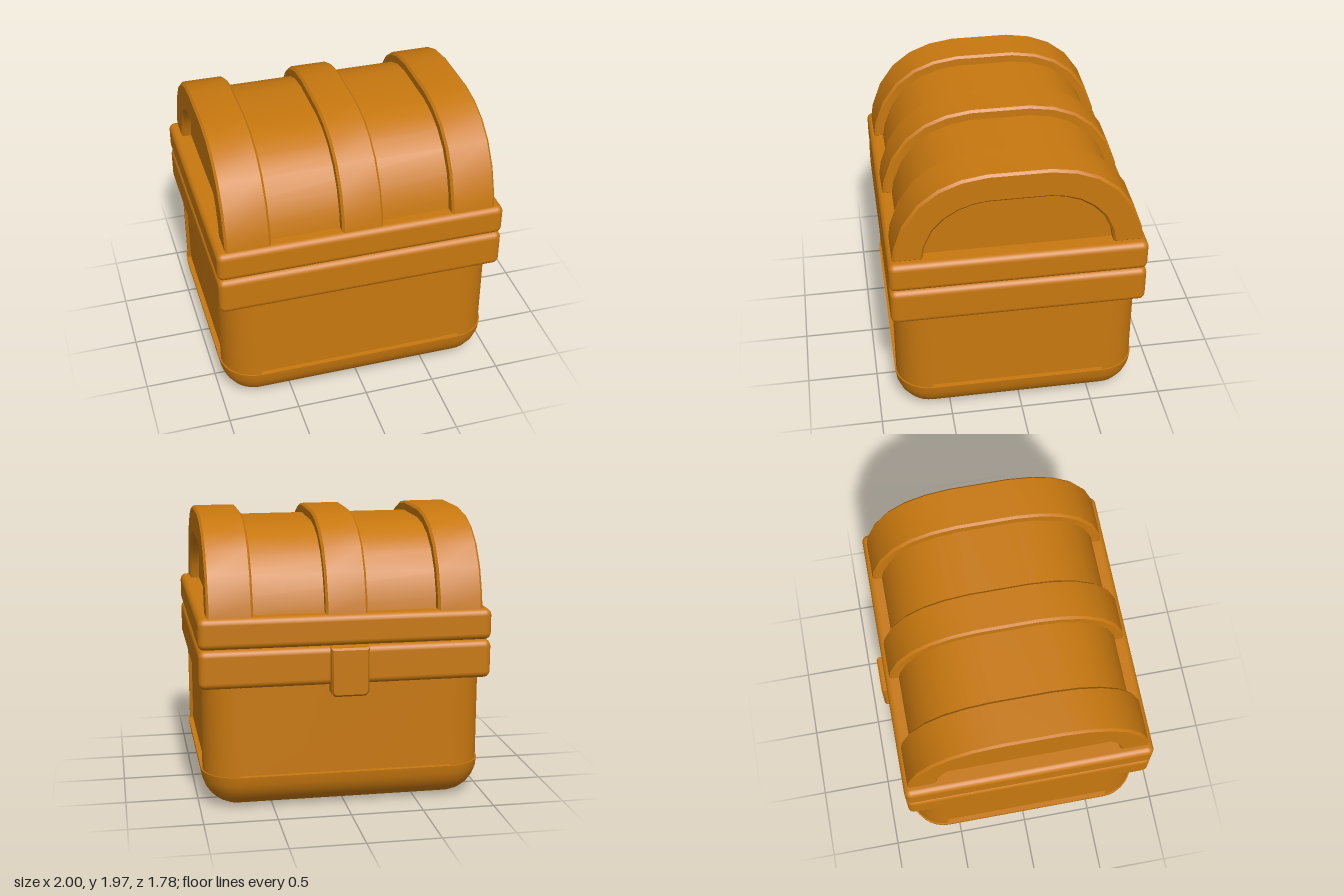
import * as THREE from 'three';
import { toCreasedNormals } from 'three/addons/utils/BufferGeometryUtils.js';
import { RoundedBoxGeometry } from 'three/addons/geometries/RoundedBoxGeometry.js';

const CX = 0.73, CZ = 0.605; // centres of the rounded corners in plan

// Stack of rounded-rectangle rings [y, cornerRadius], capped at both ends
function loft(rings, steps = 8) {
  const pos = [], index = [], n = 4 * (steps + 1);
  for (const [y, r] of rings) {
    for (let k = 0; k < 4; k++) {
      const sx = k === 0 || k === 3 ? 1 : -1, sz = k < 2 ? 1 : -1;
      for (let i = 0; i <= steps; i++) {
        const a = (k + i / steps) * Math.PI / 2;
        pos.push(sx * CX + r * Math.cos(a), y, sz * CZ + r * Math.sin(a));
      }
    }
  }
  for (let j = 0; j < rings.length - 1; j++) {
    for (let i = 0; i < n; i++) {
      const a = j * n + i, b = j * n + (i + 1) % n;
      index.push(a, a + n, b, b, a + n, b + n);
    }
  }
  const top = (rings.length - 1) * n;
  for (let i = 1; i < n - 1; i++) {
    index.push(0, i, i + 1, top, top + i + 1, top + i);
  }
  const g = new THREE.BufferGeometry();
  g.setAttribute('position', new THREE.Float32BufferAttribute(pos, 3));
  g.setIndex(index);
  return toCreasedNormals(g, 0.6);
}

// Half profiles of the lid bands, [z, y] from the foot to the crown
const OUTER = [[0.84, 1.345], [0.825, 1.45], [0.76, 1.63], [0.655, 1.78], [0.525, 1.88], [0.375, 1.94], [0.205, 1.967]];
const INNER = [[0.64, 1.345], [0.62, 1.45], [0.565, 1.57], [0.49, 1.65], [0.4, 1.71], [0.3, 1.745], [0.205, 1.76]];

// Full arch between the outer (t = 0) and inner (t = 1) profile
function arch(t) {
  const half = OUTER.map(([z, y], i) => new THREE.Vector2(
    z + (INNER[i][0] - z) * t, y + (INNER[i][1] - y) * t));
  const other = half.map((p) => new THREE.Vector2(-p.x, p.y)).reverse();
  return [...half, ...other];
}

// Extrude a (z, y) outline along x, centred, with an optional bevel
function extrudeX(points, width, bevel) {
  const g = new THREE.ExtrudeGeometry(new THREE.Shape(points), {
    depth: width - 2 * bevel, bevelEnabled: bevel > 0, bevelSize: bevel,
    bevelThickness: bevel, bevelOffset: -bevel, bevelSegments: 1,
  });
  g.translate(0, 0, -(width - 2 * bevel) / 2);
  g.rotateY(-Math.PI / 2);
  return toCreasedNormals(g, 0.6);
}

export function createModel() {
  const root = new THREE.Group();
  root.name = 'chest';
  const chest = new THREE.Group();
  chest.name = 'chestParts';
  chest.position.z = 0.02;
  root.add(chest);
  const material = new THREE.MeshStandardMaterial({ color: 0xc8780f });
  const add = (name, geometry, x = 0, y = 0, z = 0) => {
    const mesh = new THREE.Mesh(geometry, material);
    mesh.name = name;
    mesh.position.set(x, y, z);
    chest.add(mesh);
  };

  // Base with a rounded underside
  const baseRings = [];
  for (let i = 0; i <= 6; i++) {
    const a = 0.1 + (i / 6) * (Math.PI / 2 - 0.1);
    baseRings.push([0.25 * (1 - Math.cos(a)) - 0.001, 0.25 * Math.sin(a)]);
  }
  add('base', loft(baseRings));

  // Recessed side panels
  add('bodyPanels', loft([[0.2, 0.215], [0.92, 0.215]]));

  // Quarter-round corner posts
  for (let k = 0; k < 4; k++) {
    const sx = k === 0 || k === 3 ? 1 : -1, sy = k < 2 ? 1 : -1;
    const pie = new THREE.Shape();
    pie.moveTo(0, 0);
    pie.absarc(0, 0, 0.24, k * Math.PI / 2, (k + 1) * Math.PI / 2, false);
    const g = new THREE.ExtrudeGeometry(pie, { depth: 0.65, bevelEnabled: false, curveSegments: 8 });
    g.rotateX(-Math.PI / 2);
    add('cornerPost', toCreasedNormals(g, 0.6), sx * CX, 0.24, -sy * CZ);
  }

  // Body rim and lid rim
  add('bodyRim', new RoundedBoxGeometry(2, 0.266, 1.74, 3, 0.045), 0, 1.006, 0);
  add('lidRim', new RoundedBoxGeometry(2, 0.214, 1.74, 3, 0.045), 0, 1.248, 0);

  // Lid barrel and the three bands over it
  add('lidBarrel', extrudeX(arch(0.33), 1.74, 0));
  const bandOutline = [...arch(0), ...arch(1).reverse()];
  for (const [x, width] of [[-0.783, 0.31], [0, 0.285], [0.783, 0.31]]) {
    add('lidBand', extrudeX(bandOutline, width, 0.016), x);
  }

  // Latch plate on the back, with clipped lower corners
  const plate = new THREE.Shape([
    [-0.13, 1.135], [-0.13, 0.825], [-0.105, 0.8], [0.105, 0.8], [0.13, 0.825], [0.13, 1.135],
  ].map(([x, y]) => new THREE.Vector2(x, y)));
  const latch = new THREE.ExtrudeGeometry(plate, {
    depth: 0.08, bevelEnabled: true, bevelSize: 0.014, bevelThickness: 0.014, bevelOffset: -0.014, bevelSegments: 1,
  });
  add('latch', toCreasedNormals(latch, 0.6), -0.012, 0, -0.9);

  return root;
}
